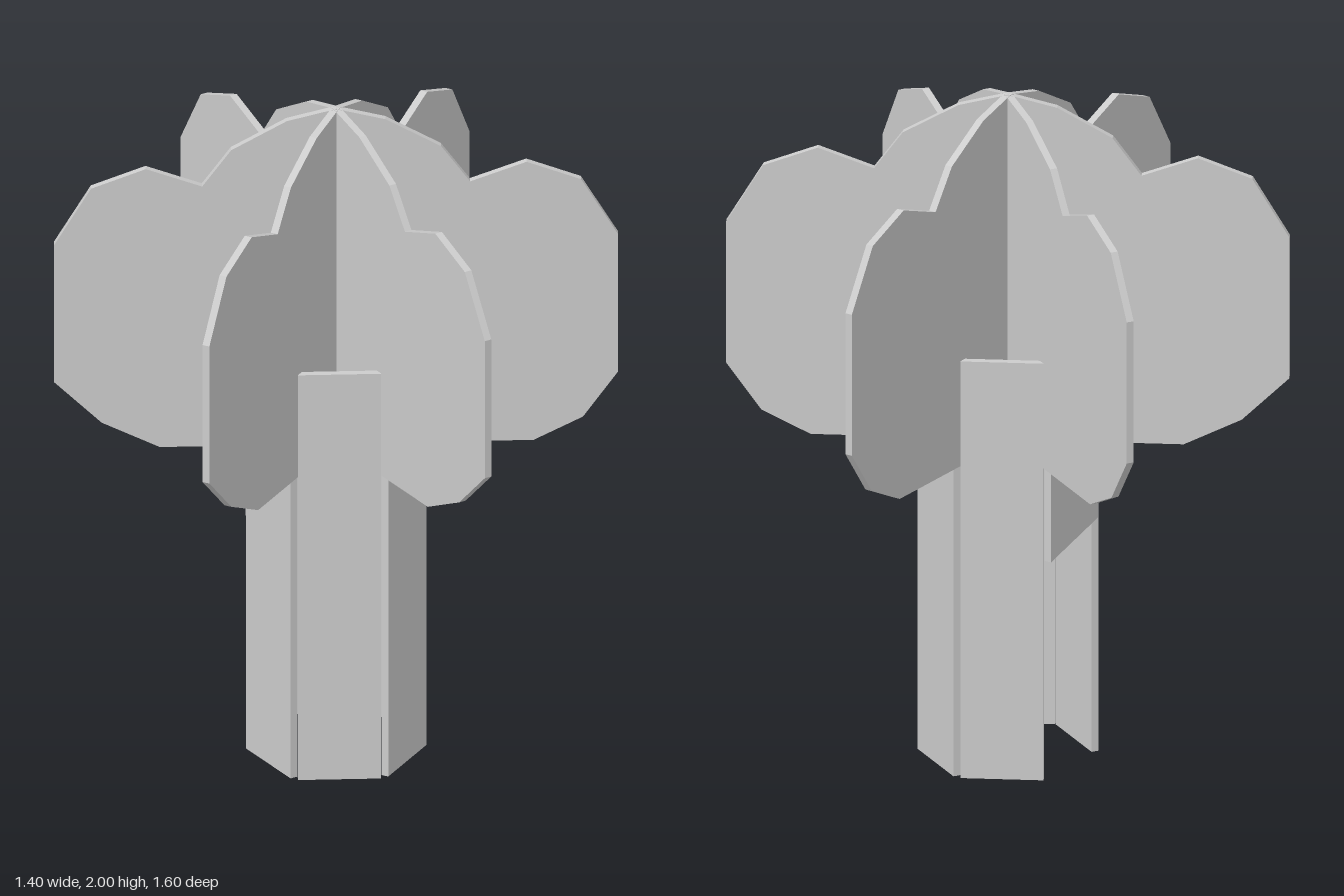
import * as THREE from 'three';

const THICKNESS = 0.022;
const material = new THREE.MeshStandardMaterial({ color: 0xcccccc, flatShading: true });

// Flat board cut from an outline, centred on its own thickness
function board(points) {
  const shape = new THREE.Shape(points.map(([u, y]) => new THREE.Vector2(u, y)));
  const geometry = new THREE.ExtrudeGeometry(shape, { depth: THICKNESS, bevelEnabled: false });
  return geometry.translate(0, 0, -THICKNESS / 2);
}

function addPart(group, geometry, name, angle) {
  const mesh = new THREE.Mesh(geometry, material);
  mesh.name = name;
  mesh.rotation.y = angle;
  group.add(mesh);
}

export function createModel() {
  const model = new THREE.Group();
  model.name = 'tree';

  // Canopy: six scalloped boards radiating from the axis
  const canopy = new THREE.Group();
  canopy.name = 'canopy';
  const crown = [
    [0.8, 1.16], [0.8, 1.59], [0.695, 1.765], [0.54, 1.823], [0.38, 1.765],
    [0.298, 1.877], [0.14, 1.965], [0, 2],
  ];
  const backFin = board([[0, 0.95], [0.56, 0.95], [0.7, 1.02], ...crown]);
  const frontFin = board([[0, 0.95], [0.5, 0.95], [0.665, 1.03], ...crown]);
  for (let i = 0; i < 6; i++) {
    const isBack = i < 3;
    addPart(canopy, isBack ? backFin : frontFin, isBack ? 'backFoliage' : 'frontFoliage',
      Math.PI / 6 + i * Math.PI / 3);
  }
  model.add(canopy);

  // Trunk: hexagonal ring of panels slotted between the canopy boards
  const trunk = new THREE.Group();
  trunk.name = 'trunk';
  const half = 0.118, top = 1.27, apothem = 0.217;
  const panel = (y0, y1) => board([[-half, y0], [half, y1], [half, top], [-half, top]])
    .rotateY(Math.PI / 2).translate(apothem, 0, 0);
  const fullPanel = panel(0, 0);
  const doorPanel = panel(0.66, 0.72); // short panel with a slanted lower edge above the opening
  for (let i = 0; i < 6; i++) {
    const isDoor = i === 3;
    addPart(trunk, isDoor ? doorPanel : fullPanel, isDoor ? 'doorwayPanel' : 'trunkPanel', i * Math.PI / 3);
  }
  model.add(trunk);

  return model;
}
